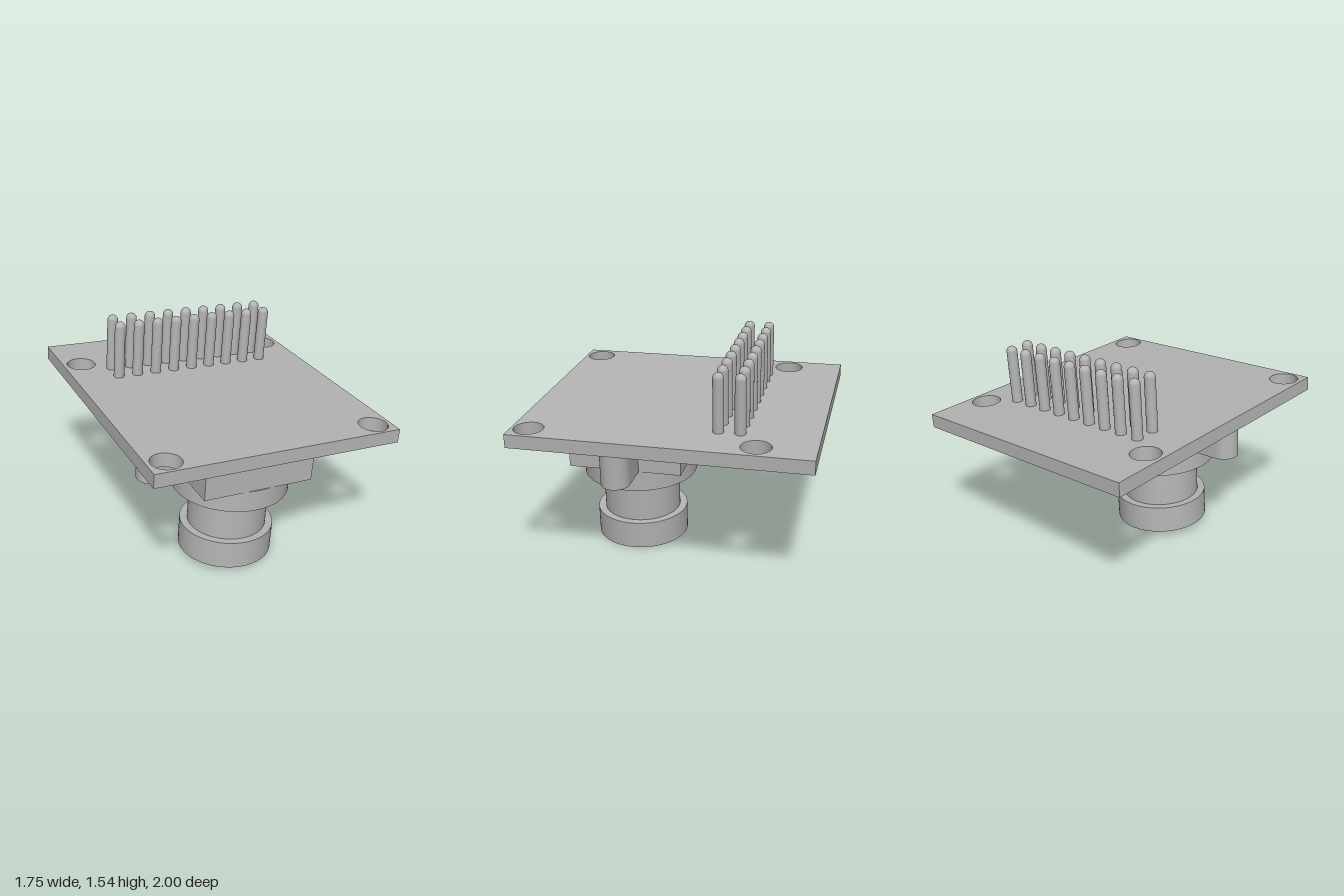
import * as THREE from 'three';
import { toCreasedNormals } from 'three/addons/utils/BufferGeometryUtils.js';

export function createModel() {
  const model = new THREE.Group();
  model.name = 'cameraModule';
  const grey = new THREE.MeshStandardMaterial({ color: 0xb4b4b4 });
  grey.name = 'grey';

  // The whole module leans slightly to its left
  const body = new THREE.Group();
  body.name = 'tiltedBody';
  body.position.y = 1.049;
  body.rotation.z = -0.0796;
  model.add(body);

  const lensZ = 0.353;

  function add(name, geometry, x, y, z, parent = body) {
    const mesh = new THREE.Mesh(geometry, grey);
    mesh.name = name;
    mesh.position.set(x, y, z);
    parent.add(mesh);
    return mesh;
  }

  // Upright slab from a plan outline
  function slab(shape, height) {
    const g = new THREE.ExtrudeGeometry(shape, { depth: height, bevelEnabled: false, curveSegments: 32 });
    g.rotateX(-Math.PI / 2);
    return toCreasedNormals(g, 0.6);
  }

  function hole(shape, x, z, r) {
    shape.holes.push(new THREE.Path().absarc(x, -z, r, 0, Math.PI * 2, true));
  }

  // Circuit board with four mounting holes
  const board = new THREE.Shape();
  board.moveTo(-0.872, -1).lineTo(0.872, -1).lineTo(0.872, 1).lineTo(-0.872, 1).closePath();
  for (const x of [-0.744, 0.744]) for (const z of [-0.62, 0.88]) hole(board, x, z, 0.1);
  add('board', slab(board, 0.095), 0, -0.0475, 0);

  // Lens housing: square block with a rounded screw lug on each side
  const housing = new THREE.Shape();
  housing.moveTo(-0.4, -0.4).lineTo(0.4, -0.4).lineTo(0.4, -0.1).lineTo(0.6, -0.1);
  housing.absarc(0.6, 0, 0.1, -Math.PI / 2, Math.PI / 2, false);
  housing.lineTo(0.4, 0.1).lineTo(0.4, 0.4).lineTo(-0.4, 0.4).lineTo(-0.4, 0.1).lineTo(-0.6, 0.1);
  housing.absarc(-0.6, 0, 0.1, Math.PI / 2, Math.PI * 1.5, false);
  housing.lineTo(-0.4, -0.1).closePath();
  for (const x of [-0.6, 0.6]) hole(housing, x, 0, 0.022);
  add('housing', slab(housing, 0.33), 0, -0.375, lensZ);

  // Lens: flange, barrel, hollow front ring and domed glass
  const lens = new THREE.Group();
  lens.name = 'lens';
  lens.position.z = lensZ;
  body.add(lens);
  add('flange', new THREE.CylinderGeometry(0.41, 0.41, 0.15, 64), 0, -0.448, 0, lens);
  add('barrel', new THREE.CylinderGeometry(0.278, 0.278, 0.46, 64), 0, -0.73, 0, lens);
  const ring = new THREE.Shape().absarc(0, 0, 0.331, 0, Math.PI * 2, false);
  hole(ring, 0, 0, 0.277);
  add('frontRing', slab(ring, 0.198), 0, -1.025, 0, lens);
  const R = 1.322;
  const glass = new THREE.SphereGeometry(R, 64, 8, 0, Math.PI * 2, 0, 0.2134);
  glass.rotateX(Math.PI);
  add('lensGlass', glass, 0, -0.995 + R, 0, lens);

  // Two rows of nine round-ended header pins
  const pin = new THREE.CapsuleGeometry(0.037, 0.47, 8, 24);
  const pins = new THREE.Group();
  pins.name = 'headerPins';
  body.add(pins);
  for (const z of [-0.345, -0.488]) {
    for (let i = 0; i < 9; i++) add('pin', pin, -0.562 + i * 0.1404, 0.178, z, pins);
  }

  return model;
}
